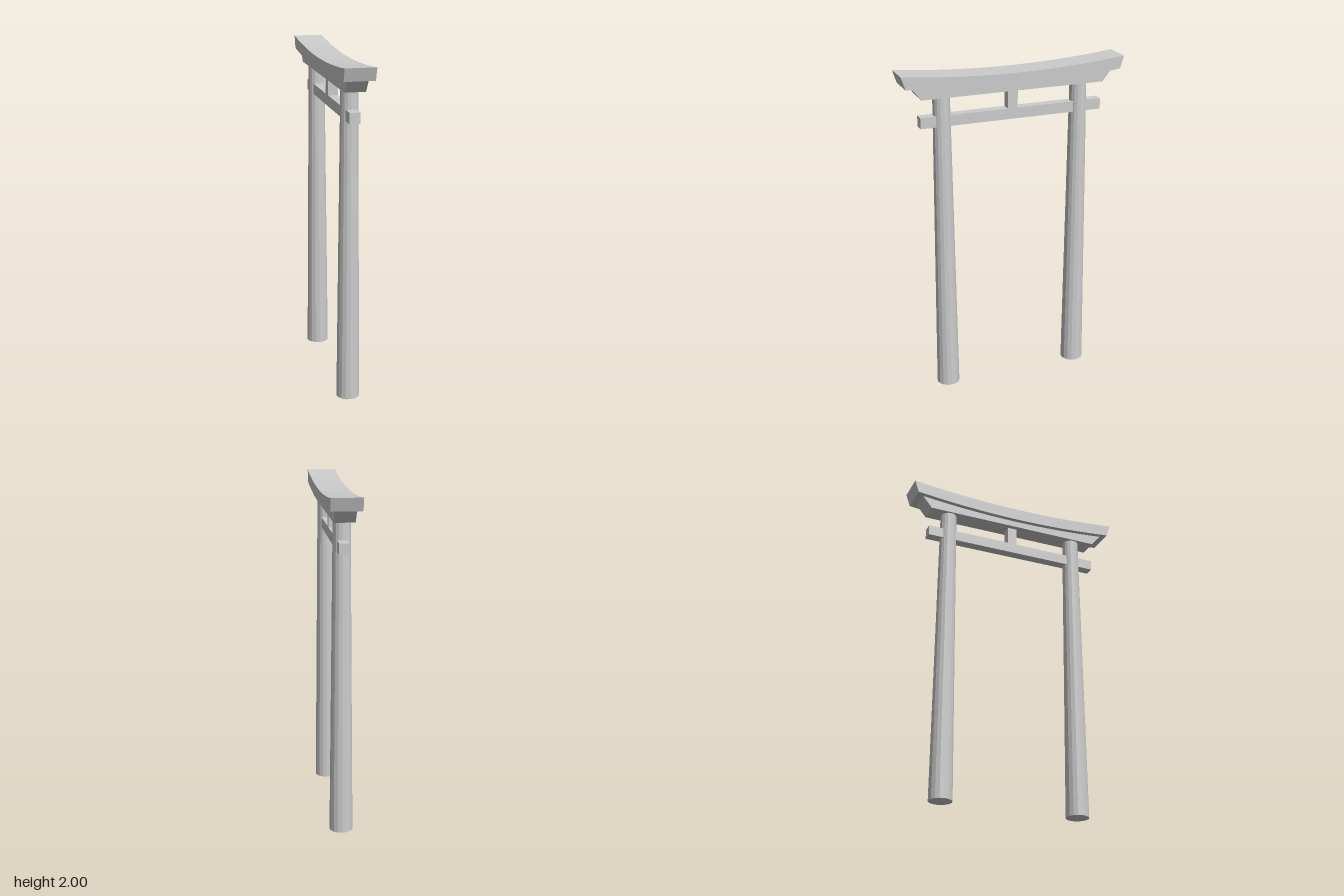
import * as THREE from 'three';

export function createModel() {
  const gate = new THREE.Group();
  gate.name = 'gate';
  const stone = new THREE.MeshStandardMaterial({ color: 0xcccccc });
  stone.name = 'pale grey';

  function add(name, geometry, x = 0, y = 0, z = 0) {
    const mesh = new THREE.Mesh(geometry, stone);
    mesh.name = name;
    mesh.position.set(x, y, z);
    gate.add(mesh);
  }

  // Beam profile in z and y, sagging towards the middle, extruded across x.
  // Each edge is given as half length, height at the ends, height at the middle.
  function saggingBeam(bottom, top, width) {
    const shape = new THREE.Shape();
    shape.moveTo(-bottom.half, bottom.end);
    shape.quadraticCurveTo(0, 2 * bottom.mid - bottom.end, bottom.half, bottom.end);
    shape.lineTo(top.half, top.end);
    shape.quadraticCurveTo(0, 2 * top.mid - top.end, -top.half, top.end);
    const geometry = new THREE.ExtrudeGeometry(shape, {
      depth: width, bevelEnabled: false, curveSegments: 12,
    });
    geometry.translate(0, 0, -width / 2);
    geometry.rotateY(-Math.PI / 2);
    return geometry;
  }

  // Tapered faceted pillars
  for (const side of [-1, 1]) {
    const pillar = new THREE.CylinderGeometry(0.05, 0.069, 1.86, 16).toNonIndexed();
    pillar.computeVertexNormals();
    add(side > 0 ? 'frontPillar' : 'backPillar', pillar, 0, 0.93, side * 0.425);
  }

  // Straight tie beam through the pillars, with the short strut above it
  add('tieBeam', new THREE.BoxGeometry(0.06, 0.064, 1.12), 0, 1.707, 0);
  add('centreStrut', new THREE.BoxGeometry(0.06, 0.12, 0.06), 0, 1.795, 0);

  // Lower lintel with flared ends
  add('lowerLintel', saggingBeam(
    { half: 0.557, end: 1.85, mid: 1.85 },
    { half: 0.615, end: 1.921, mid: 1.889 }, 0.12));

  // Curved top lintel
  add('topLintel', saggingBeam(
    { half: 0.655, end: 1.925, mid: 1.888 },
    { half: 0.68, end: 2, mid: 1.962 }, 0.176));

  return gate;
}
